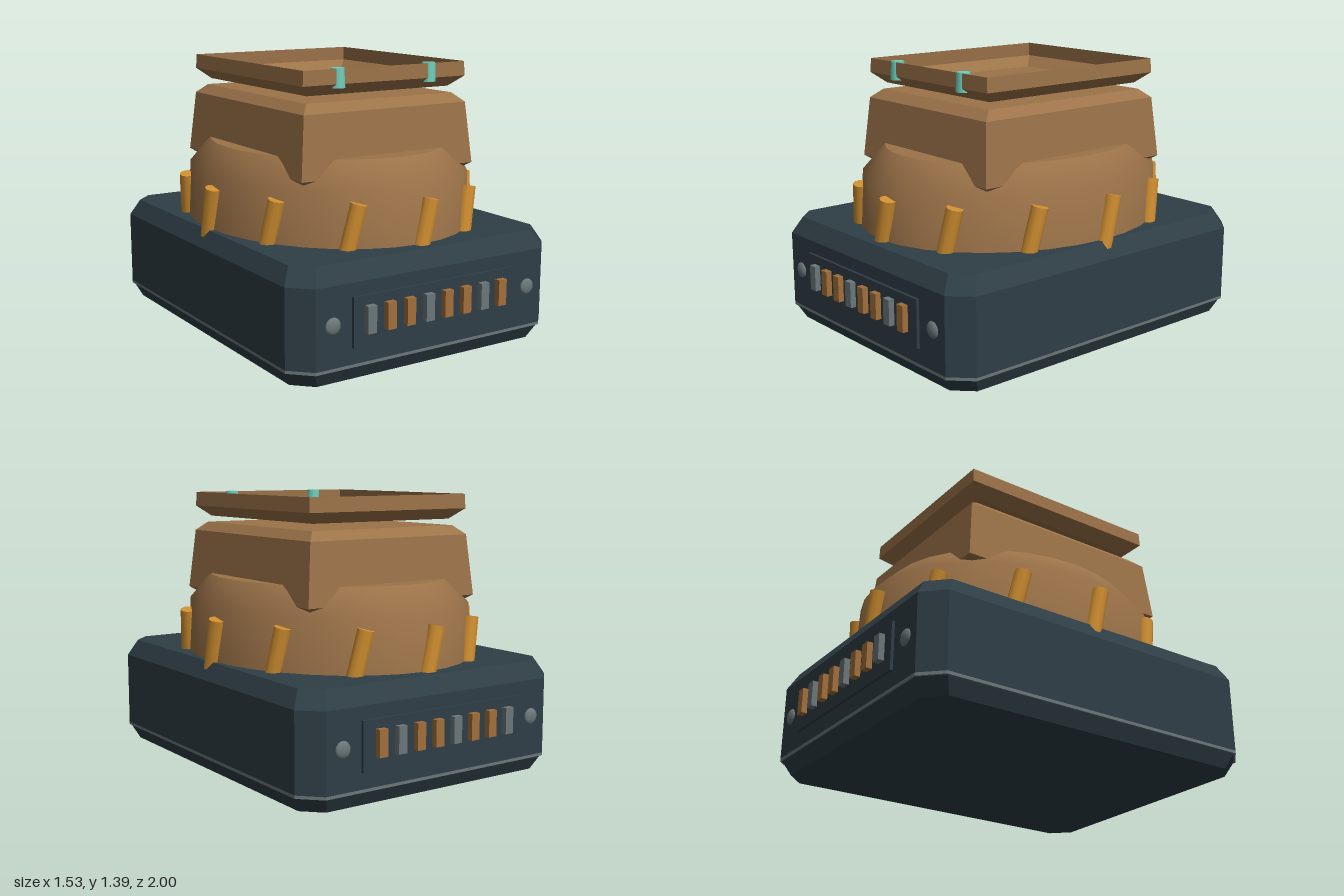
import * as THREE from 'three';

const mat = (name, color, side = THREE.FrontSide) => {
  const m = new THREE.MeshStandardMaterial({ color, side });
  m.name = name;
  return m;
};

// Rectangle outline with optional cut corners, counter-clockwise seen from above
function outline([y, hx, hz, cut]) {
  const c = cut
    ? [[hx - cut, hz], [hx, hz - cut], [hx, cut - hz], [hx - cut, -hz],
       [cut - hx, -hz], [-hx, cut - hz], [-hx, hz - cut], [cut - hx, hz]]
    : [[hx, hz], [hx, -hz], [-hx, -hz], [-hx, hz]];
  return c.map(([x, z]) => [x, y, z]);
}

// Flat-faced solid through a stack of outlines [y, halfX, halfZ, cut], bottom to top
function loft(layers, { bottom = true, top = true } = {}) {
  const rings = layers.map(outline);
  const n = rings[0].length;
  const pos = [];
  const tri = (a, b, c) => pos.push(...a, ...b, ...c);
  for (let k = 0; k < rings.length - 1; k++) {
    for (let i = 0; i < n; i++) {
      const j = (i + 1) % n;
      const [lo, hi] = [rings[k], rings[k + 1]];
      tri(lo[i], lo[j], hi[j]);
      tri(lo[i], hi[j], hi[i]);
    }
  }
  const [first, last] = [rings[0], rings[rings.length - 1]];
  for (let i = 1; i < n - 1; i++) {
    if (bottom) tri(first[0], first[i + 1], first[i]);
    if (top) tri(last[0], last[i], last[i + 1]);
  }
  const g = new THREE.BufferGeometry();
  g.setAttribute('position', new THREE.Float32BufferAttribute(pos, 3));
  g.computeVertexNormals();
  return g;
}

export function createModel() {
  const model = new THREE.Group();
  model.name = 'bunkerBuilding';

  const slate = mat('slate', 0x2f3e46);
  const grey = mat('grey', 0x6b7779);
  const brown = mat('brown', 0x9c7349);
  const trayBrown = mat('trayBrown', 0x9c7349, THREE.DoubleSide);
  const copper = mat('copper', 0xa06e3a);
  const orange = mat('orange', 0xcf8e30);
  const teal = mat('teal', 0x6fd0be);

  const add = (name, geometry, material, parent = model) => {
    const mesh = new THREE.Mesh(geometry, material);
    mesh.name = name;
    parent.add(mesh);
    return mesh;
  };

  // Base block: tapered foot, thin trim strip, bevelled body
  add('baseFoot', loft([[0, 0.72, 0.905, 0.09], [0.075, 0.757, 0.948, 0.1]]), slate);
  add('trimStrip', loft([[0.075, 0.765, 0.955, 0.1], [0.09, 0.765, 0.955, 0.1]]), grey);
  add('baseBody', loft([
    [0.09, 0.765, 0.955, 0.1], [0.475, 0.765, 0.955, 0.1], [0.56, 0.72, 0.905, 0.09],
  ]), slate);

  // Panels with a row of keys and two studs, front and back
  const keyColours = [grey, copper, copper, grey, copper, copper, grey, copper];
  for (const [side, s] of [['front', 1], ['back', -1]]) {
    const panel = new THREE.Group();
    panel.name = side + 'Panel';
    model.add(panel);
    add('panelPlate', new THREE.BoxGeometry(0.945, 0.24, 0.03), slate, panel)
      .position.set(0, 0.29, s * 0.955);
    keyColours.forEach((colour, i) => {
      add('key', new THREE.BoxGeometry(0.048, 0.13, 0.06), colour, panel)
        .position.set(-0.39 + i * 0.11, 0.3, s * 0.97);
    });
    for (const x of [-0.575, 0.575]) {
      const stud = add('stud', new THREE.SphereGeometry(0.041, 14, 10), grey, panel);
      stud.position.set(x, 0.29, s * 0.955);
      stud.scale.z = 0.4;
    }
  }

  // Oval drum with sloping shoulder and flat top
  const stretch = 1.187;
  const drum = new THREE.LatheGeometry([
    new THREE.Vector2(0.705, 0.5), new THREE.Vector2(0.69, 0.83), new THREE.Vector2(0.585, 0.962),
  ], 32);
  add('drum', drum.scale(1, 1, stretch), brown);
  const lid = new THREE.CircleGeometry(0.585, 32).rotateX(-Math.PI / 2);
  add('drumTop', lid.scale(1, 1, stretch), brown).position.y = 0.962;

  // Ring of leaning pegs
  const ring = new THREE.Group();
  ring.name = 'pegRing';
  model.add(ring);
  const pegGeometry = new THREE.CylinderGeometry(0.042, 0.042, 0.27, 10);
  for (let i = 0; i < 12; i++) {
    const a = (i / 12) * Math.PI * 2;
    const tangent = new THREE.Vector3(Math.cos(a), 0, -Math.sin(a));
    const lean = tangent.clone().multiplyScalar(0.235).setY(1).normalize();
    const peg = add('peg', pegGeometry, orange, ring);
    peg.position.set(0.7 * Math.sin(a), 0.645, 0.83 * Math.cos(a)).addScaledVector(tangent, 0.03);
    peg.quaternion.setFromUnitVectors(new THREE.Vector3(0, 1, 0), lean);
  }

  // Tapered tower sunk into the drum
  add('tower', loft([
    [0.83, 0.455, 0.53], [0.87, 0.51, 0.588], [1.18, 0.48, 0.56], [1.225, 0.433, 0.505],
  ]), brown);

  // Thin open tray floating above the tower
  add('tray', loft([
    [1.258, 0.42, 0.49], [1.312, 0.48, 0.552], [1.385, 0.476, 0.55],
  ], { top: false }), trayBrown);

  // Pins through the front wall of the tray
  for (const x of [-0.27, 0.27]) {
    add('pin', new THREE.CylinderGeometry(0.034, 0.038, 0.095, 10), teal)
      .position.set(x, 1.34, 0.525);
  }

  return model;
}
